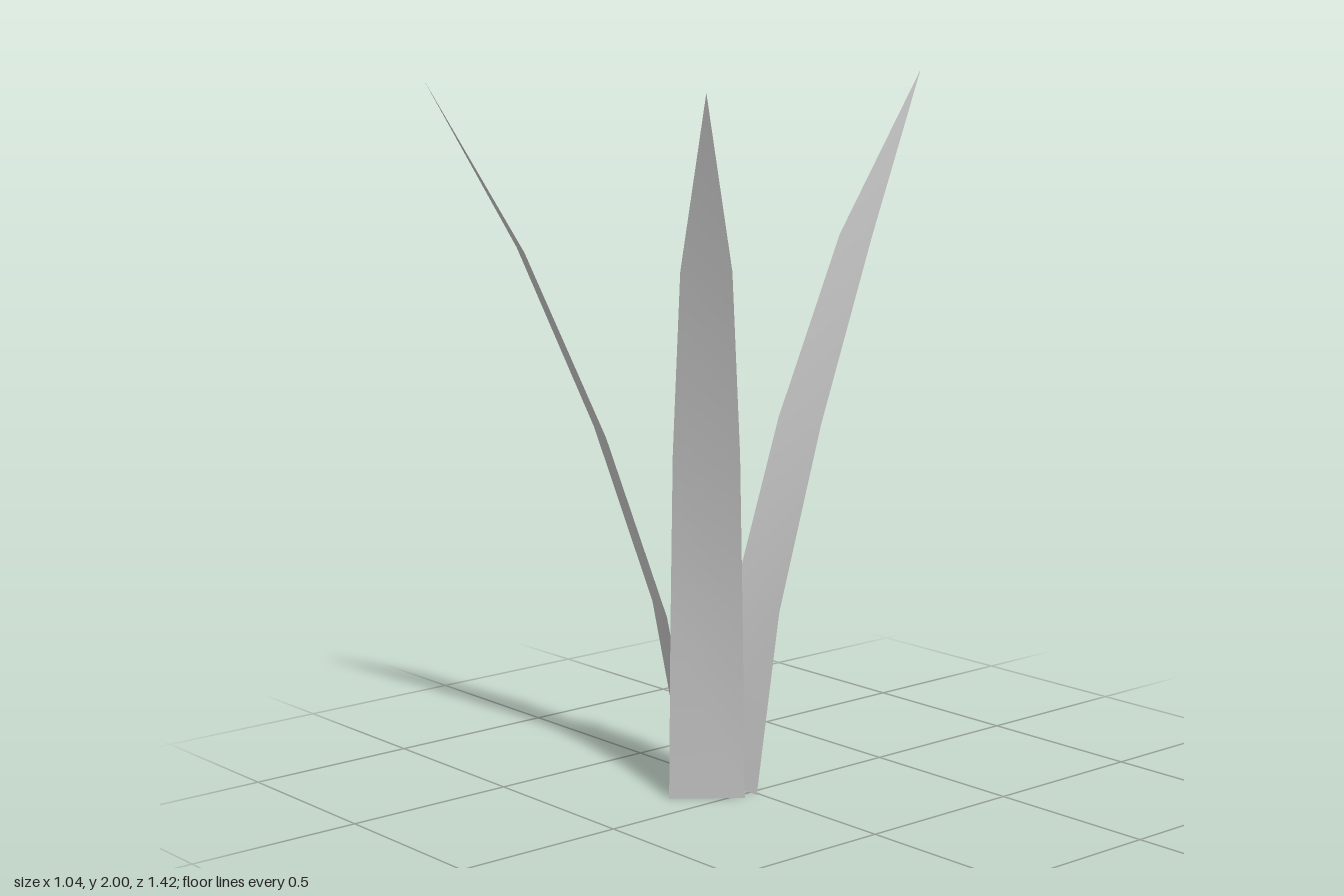
import * as THREE from 'three';

// Blade rows from base to tip: [height, half width]; the last row is the point
const ROWS = [[0, 0.106], [0.512, 0.099], [1.025, 0.089], [1.537, 0.066], [2, 0]];
const REACH = 0.724;

// One flat, tapering leaf that arches outwards along +z
function bladeGeometry() {
  const positions = [], index = [];
  const last = ROWS.length - 1;
  ROWS.forEach(([y, w], i) => {
    const z = REACH * Math.pow(i / last, 1.5);
    if (i === last) positions.push(0, y, z);
    else positions.push(-w, y, z, w, y, z);
  });
  for (let i = 0; i < last; i++) {
    const a = i * 2;
    index.push(a, a + 2, a + 1);
    if (i < last - 1) index.push(a + 1, a + 2, a + 3);
  }
  const geometry = new THREE.BufferGeometry();
  geometry.setAttribute('position', new THREE.Float32BufferAttribute(positions, 3));
  geometry.setIndex(index);
  geometry.computeVertexNormals();
  return geometry;
}

export function createModel() {
  const group = new THREE.Group();
  group.name = 'grassTuft';
  const material = new THREE.MeshStandardMaterial({ color: 0xcccccc, side: THREE.DoubleSide });
  const geometry = bladeGeometry();

  // Each blade: name, base x, base z, heading about y
  const blades = [
    ['backBlade', -0.075, 0.01, Math.PI],
    ['rightBlade', -0.185, 0.067, -0.48],
    ['leftBlade', -0.038, 0.135, 0.871],
  ];
  for (const [name, x, z, heading] of blades) {
    const blade = new THREE.Mesh(geometry, material);
    blade.name = name;
    blade.position.set(x, 0, z);
    blade.rotation.y = heading;
    group.add(blade);
  }
  return group;
}
